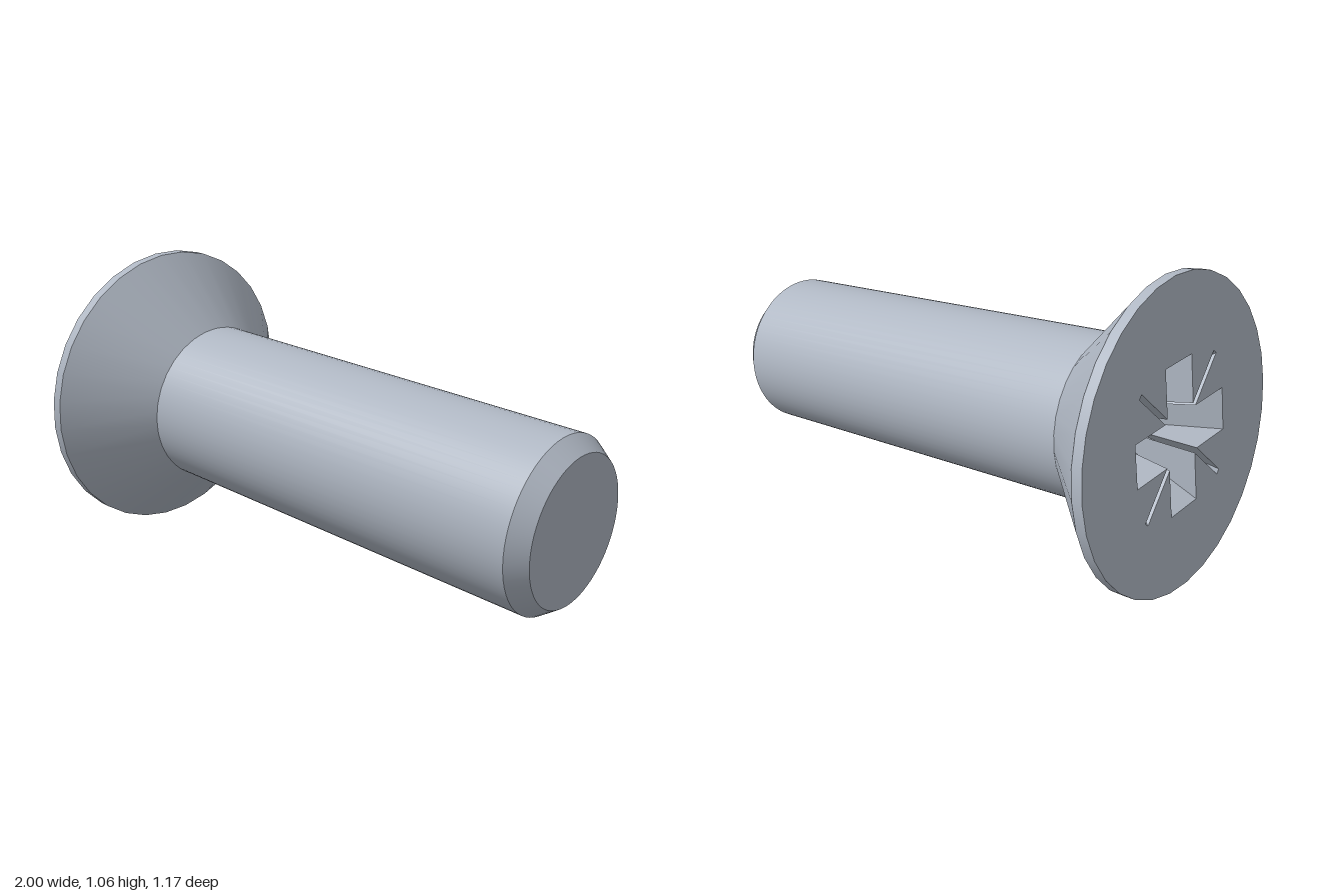
import * as THREE from 'three';

const HEAD_R = 0.533, SHAFT_R = 0.289, TIP_R = 0.245;
const HEAD_SIDES = 32, SHAFT_SIDES = 64, RECESS_DEPTH = 0.22;

// One quarter of the drive recess, repeated four times counter-clockwise
function crossOutline(quarter) {
  const out = [];
  for (let k = 0; k < 4; k++) {
    for (const [u, v] of quarter) {
      out.push(new THREE.Vector2(u, v).rotateAround(new THREE.Vector2(), k * Math.PI / 2));
    }
  }
  return out;
}

export function createModel() {
  const steel = new THREE.MeshStandardMaterial({ color: 0xb0b8c4 });
  steel.name = 'steel';
  const screw = new THREE.Group();
  screw.name = 'countersunkScrew';

  const add = (name, geometry) => {
    const mesh = new THREE.Mesh(geometry, steel);
    mesh.name = name;
    screw.add(mesh);
  };
  // Band of revolution from (r0, y0) to (r1, y1); separate bands keep edges sharp
  const band = (name, r0, y0, r1, y1, sides) => add(name, new THREE.LatheGeometry(
    [new THREE.Vector2(r0, y0), new THREE.Vector2(r1, y1)], sides));

  band('headRim', HEAD_R, 0, HEAD_R, 0.037, HEAD_SIDES);
  band('headCone', HEAD_R, 0.037, SHAFT_R, 0.287, HEAD_SIDES);
  band('shaft', SHAFT_R, 0.28, SHAFT_R, 1.805, SHAFT_SIDES);
  band('tipChamfer', SHAFT_R, 1.805, TIP_R, 1.865, SHAFT_SIDES);
  add('tipFace', new THREE.CircleGeometry(TIP_R, SHAFT_SIDES).rotateX(-Math.PI / 2).translate(0, 1.865, 0));

  // Drive recess: four wide wings with a thin slit between each pair
  const mouth = crossOutline([
    [0.255, -0.075], [0.255, 0.075], [0.088, 0.075],
    [0.222, 0.209], [0.209, 0.222], [0.075, 0.088]]);
  const floor = crossOutline([
    [0.125, -0.05], [0.125, 0.05], [0.06, 0.05],
    [0.075, 0.065], [0.065, 0.075], [0.05, 0.06]]);

  // Flat head face pierced by the recess mouth
  const rim = [];
  for (let i = 0; i < HEAD_SIDES; i++) {
    const a = i / HEAD_SIDES * Math.PI * 2;
    rim.push(new THREE.Vector2(HEAD_R * Math.cos(a), HEAD_R * Math.sin(a)));
  }
  const face = new THREE.Shape(rim);
  face.holes.push(new THREE.Path(mouth));
  add('headFace', new THREE.ShapeGeometry(face).rotateX(Math.PI / 2));

  // Tapering recess walls
  const pos = [];
  mouth.forEach((a, i) => {
    const j = (i + 1) % mouth.length;
    const b = mouth[j], c = floor[j], d = floor[i], z = -RECESS_DEPTH;
    pos.push(a.x, a.y, 0, b.x, b.y, 0, c.x, c.y, z);
    pos.push(a.x, a.y, 0, c.x, c.y, z, d.x, d.y, z);
  });
  const walls = new THREE.BufferGeometry();
  walls.setAttribute('position', new THREE.Float32BufferAttribute(pos, 3));
  walls.rotateX(Math.PI / 2);
  walls.computeVertexNormals();
  add('recessWalls', walls);
  add('recessFloor', new THREE.ShapeGeometry(new THREE.Shape(floor))
    .translate(0, 0, -RECESS_DEPTH).rotateX(Math.PI / 2));

  // Lay the screw along its tilted axis, one recess wing pointing up
  const axis = new THREE.Vector3(1, -0.142, 0.212).normalize();
  const up = new THREE.Vector3(0, 1, 0).addScaledVector(axis, -axis.y).normalize();
  const side = new THREE.Vector3().crossVectors(up, axis);
  screw.quaternion.setFromRotationMatrix(new THREE.Matrix4().makeBasis(up, axis, side));
  screw.position.set(-0.868, 0.539, -0.068);

  const model = new THREE.Group();
  model.name = 'screwModel';
  model.add(screw);
  return model;
}
